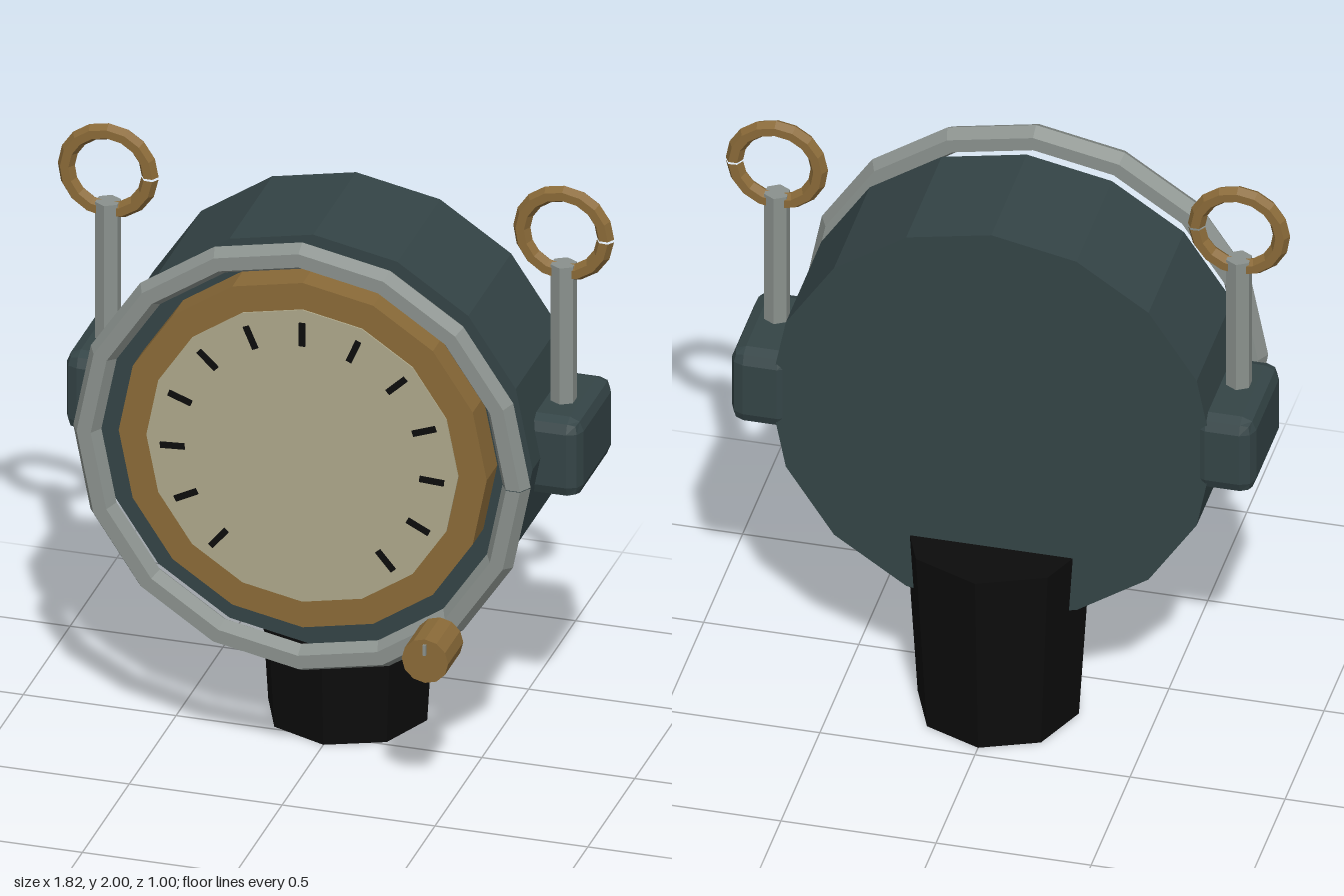
import * as THREE from 'three';
import { RoundedBoxGeometry } from 'three/addons/geometries/RoundedBoxGeometry.js';

const paint = (name, color) => {
  const m = new THREE.MeshStandardMaterial({ color, flatShading: true });
  m.name = name;
  return m;
};

export function createModel() {
  const slate = paint('darkSlate', 0x344446);
  const brass = paint('brass', 0x8a6a38);
  const steel = paint('steel', 0x8a918d);
  const ivory = paint('ivory', 0xaea88a);
  const black = paint('black', 0x0c0c0c);

  const model = new THREE.Group();
  model.name = 'gauge';
  const CY = 1.118; // height of the dial centre

  const add = (name, geometry, material, x, y, z, parent = model) => {
    const mesh = new THREE.Mesh(geometry, material);
    mesh.name = name;
    mesh.position.set(x, y, z);
    parent.add(mesh);
    return mesh;
  };
  // Cylinder along z between two depths
  const drum = (name, r, z0, z1, sides, material, x = 0, y = CY) =>
    add(name, new THREE.CylinderGeometry(r, r, z1 - z0, sides).rotateX(Math.PI / 2),
      material, x, y, (z0 + z1) / 2);

  // Tapered octagonal stand
  add('stand', new THREE.CylinderGeometry(0.3, 0.26, 0.65, 8), black, 0, 0.325, -0.2);

  // Housing, bezel and dial
  drum('housing', 0.717, -0.29, 0.167, 16, slate);
  drum('bezel', 0.602, 0.16, 0.28, 16, brass);
  drum('dialFace', 0.51, 0.279, 0.285, 16, ivory);

  // Floating guard ring with a hexagonal section
  add('guardRing', new THREE.TorusGeometry(0.702, 0.046, 6, 16, 6.28), steel, 0, CY, 0.288);

  // Thirteen dial marks sweeping 280 degrees
  const marks = new THREE.Group();
  marks.name = 'dialMarks';
  marks.position.set(0, CY, 0.287);
  model.add(marks);
  for (let i = 0; i < 13; i++) {
    const a = THREE.MathUtils.degToRad(-140 + (i * 280) / 12);
    const mark = add('dialMark', new THREE.BoxGeometry(0.02, 0.08, 0.008), black,
      Math.sin(a) * 0.425, Math.cos(a) * 0.425, 0, marks);
    mark.rotation.z = -a;
  }

  // Adjusting knob on a thin stem, with a pointer line
  drum('knobStem', 0.029, 0.205, 0.35, 8, slate, 0.464, 0.566);
  drum('knob', 0.076, 0.328, 0.49, 12, brass, 0.464, 0.566);
  add('knobPointer', new THREE.BoxGeometry(0.01, 0.036, 0.009), steel, 0.464, 0.607, 0.4945);

  // Side lugs, each carrying a rod with a loop on top
  for (const [side, s] of [['left', 1], ['right', -1]]) {
    const x = s * 0.745;
    add(side + 'Lug', new RoundedBoxGeometry(0.2, 0.275, 0.38, 1, 0.045), slate, x, 1.117, -0.107);
    add(side + 'Rod', new THREE.CylinderGeometry(0.042, 0.042, 0.55, 6), steel, x, 1.455, -0.074);
    add(side + 'Loop', new THREE.TorusGeometry(0.137, 0.028, 6, 16, 6.23), brass, x, 1.835, -0.075);
  }
  return model;
}
